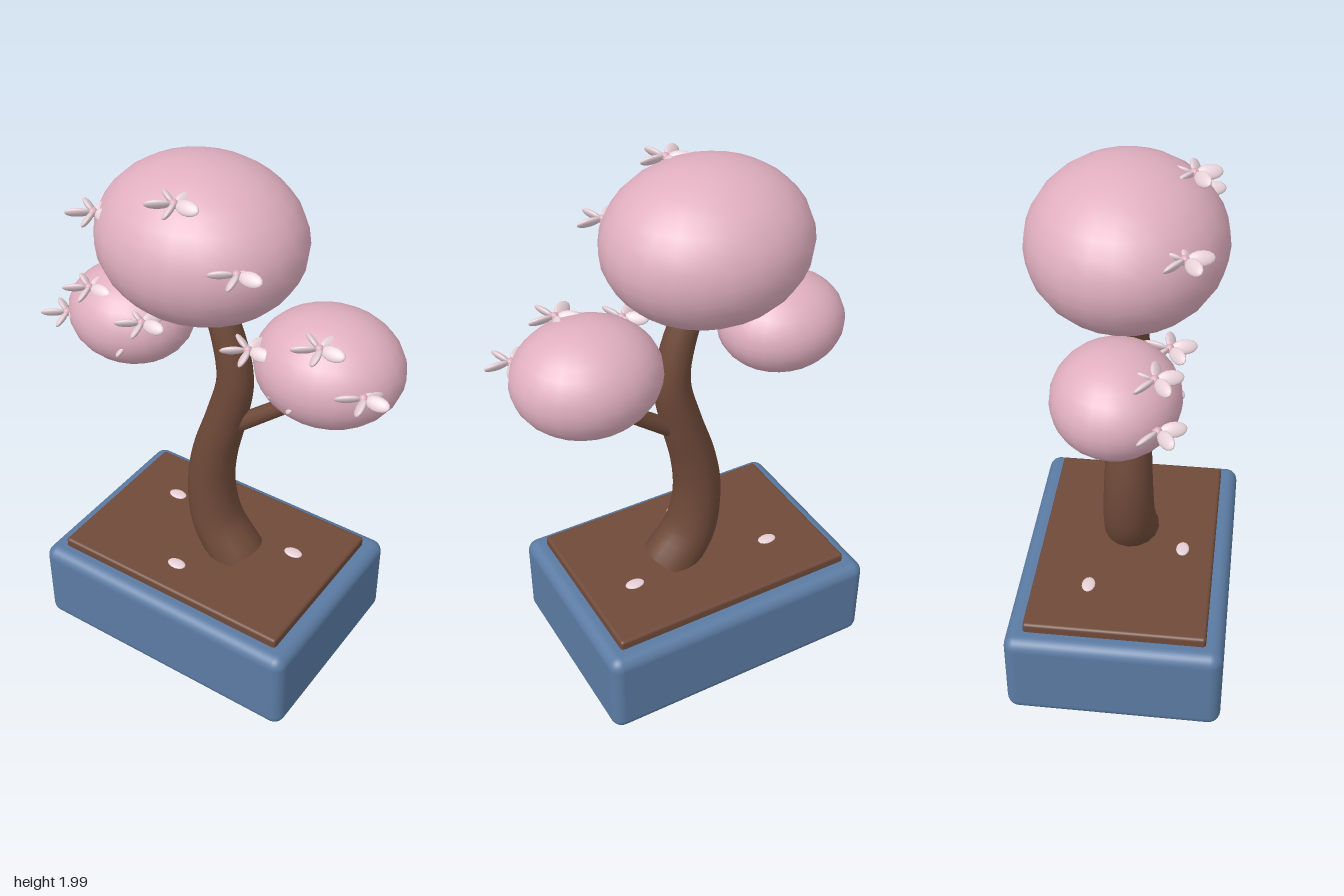
import * as THREE from 'three';
import { RoundedBoxGeometry } from 'three/addons/geometries/RoundedBoxGeometry.js';

const mat = (name, color) => {
  const m = new THREE.MeshStandardMaterial({ color });
  m.name = name;
  return m;
};

// Tube whose radius shrinks from r0 to r1 along the path, with capped ends
function taperedTube(points, r0, r1, rows, sides) {
  const curve = new THREE.CatmullRomCurve3(points.map(p => new THREE.Vector3(...p)));
  const geo = new THREE.TubeGeometry(curve, rows, 1, sides);
  const pos = geo.attributes.position;
  const v = new THREE.Vector3();
  for (let i = 0; i <= rows; i++) {
    const c = curve.getPointAt(i / rows);
    const r = r0 + (r1 - r0) * i / rows;
    for (let j = 0; j <= sides; j++) {
      const k = i * (sides + 1) + j;
      v.fromBufferAttribute(pos, k).sub(c).multiplyScalar(r).add(c);
      pos.setXYZ(k, v.x, v.y, v.z);
    }
  }
  geo.computeBoundingSphere();
  return { geo, curve };
}

export function createModel() {
  const root = new THREE.Group();
  root.name = 'pottedBlossomTree';
  const blue = mat('glazedBlue', 0x5b7ba3);
  const bark = mat('barkBrown', 0x6f4a39);
  const pink = mat('blossomPink', 0xe0afbf);
  const pale = mat('petalPale', 0xecd5dc);

  const add = (name, geo, material, x = 0, y = 0, z = 0, parent = root) => {
    const m = new THREE.Mesh(geo, material);
    m.name = name;
    m.position.set(x, y, z);
    parent.add(m);
    return m;
  };

  // Pot and soil
  add('pot', new RoundedBoxGeometry(1.1, 0.35, 0.79, 4, 0.045), blue, -0.07, 0.18, 0);
  add('soil', new RoundedBoxGeometry(0.97, 0.05, 0.66, 3, 0.012), bark, -0.07, 0.365, 0);

  // Curved trunk and side branch
  const limb = (name, pts, r0, r1, rows, sides) => {
    const { geo, curve } = taperedTube(pts, r0, r1, rows, sides);
    add(name, geo, bark);
    for (const [t, r, s] of [[0, r0, -1], [1, r1, 1]]) {
      const p = curve.getPointAt(t);
      const cap = add(name + 'End', new THREE.CircleGeometry(r, sides), bark, p.x, p.y, p.z);
      cap.quaternion.setFromUnitVectors(new THREE.Vector3(0, 0, 1), curve.getTangentAt(t).multiplyScalar(s));
    }
  };
  limb('trunk', [[0.037, 0.37, 0], [-0.055, 0.51, 0], [-0.083, 0.68, 0], [-0.065, 0.84, 0],
    [-0.015, 1.02, 0], [0.022, 1.2, 0], [-0.012, 1.38, 0], [-0.08, 1.54, 0]], 0.108, 0.05, 32, 16);
  limb('branch', [[0.0, 0.98, 0], [0.18, 1.122, -0.02], [0.36, 1.264, -0.04]], 0.033, 0.027, 4, 10);

  // Rounded foliage clouds
  const ball = new THREE.SphereGeometry(1, 24, 16);
  for (const [name, x, y, z, r] of [
    ['topFoliage', -0.113, 1.722, 0, 0.37],
    ['rightFoliage', -0.424, 1.325, 0, 0.238],
    ['leftFoliage', 0.367, 1.369, -0.045, 0.262],
  ]) add(name, ball, pink, x, y, z).scale.set(r, r * 0.75, r * 0.9);

  // Five-petalled flowers, each petal rolled like a propeller blade
  const petalGeo = new THREE.SphereGeometry(1, 14, 10);
  petalGeo.scale(0.044, 0.011, 0.025);
  petalGeo.rotateX(0.9);
  petalGeo.translate(0.05, 0, 0);
  const centreGeo = new THREE.SphereGeometry(0.016, 10, 8);
  for (const [x, y, z] of [
    [-0.07, 1.945, 0.205], [-0.395, 1.82, 0.205], [0.165, 1.775, 0.21],
    [-0.505, 1.46, 0.13], [-0.6, 1.335, 0.15], [-0.26, 1.415, 0.155], [-0.355, 1.285, 0.125],
    [0.405, 1.53, 0.1], [0.572, 1.405, 0.1], [0.15, 1.44, 0.12], [0.325, 1.31, 0.1],
  ]) {
    const flower = new THREE.Group();
    flower.name = 'flower';
    flower.position.set(x, y, z);
    root.add(flower);
    add('flowerCentre', centreGeo, pink, 0, 0, 0, flower);
    for (let i = 0; i < 5; i++) {
      add('petal', petalGeo, pale, 0, 0, 0, flower).rotation.y = i * Math.PI * 2 / 5;
    }
  }

  // Petals fallen on the soil
  const fallen = new THREE.SphereGeometry(1, 14, 8);
  for (const [x, z] of [[-0.335, -0.12], [-0.105, 0.21], [0.235, -0.09]]) {
    add('fallenPetal', fallen, pale, x, 0.4, z).scale.set(0.038, 0.007, 0.025);
  }
  return root;
}
